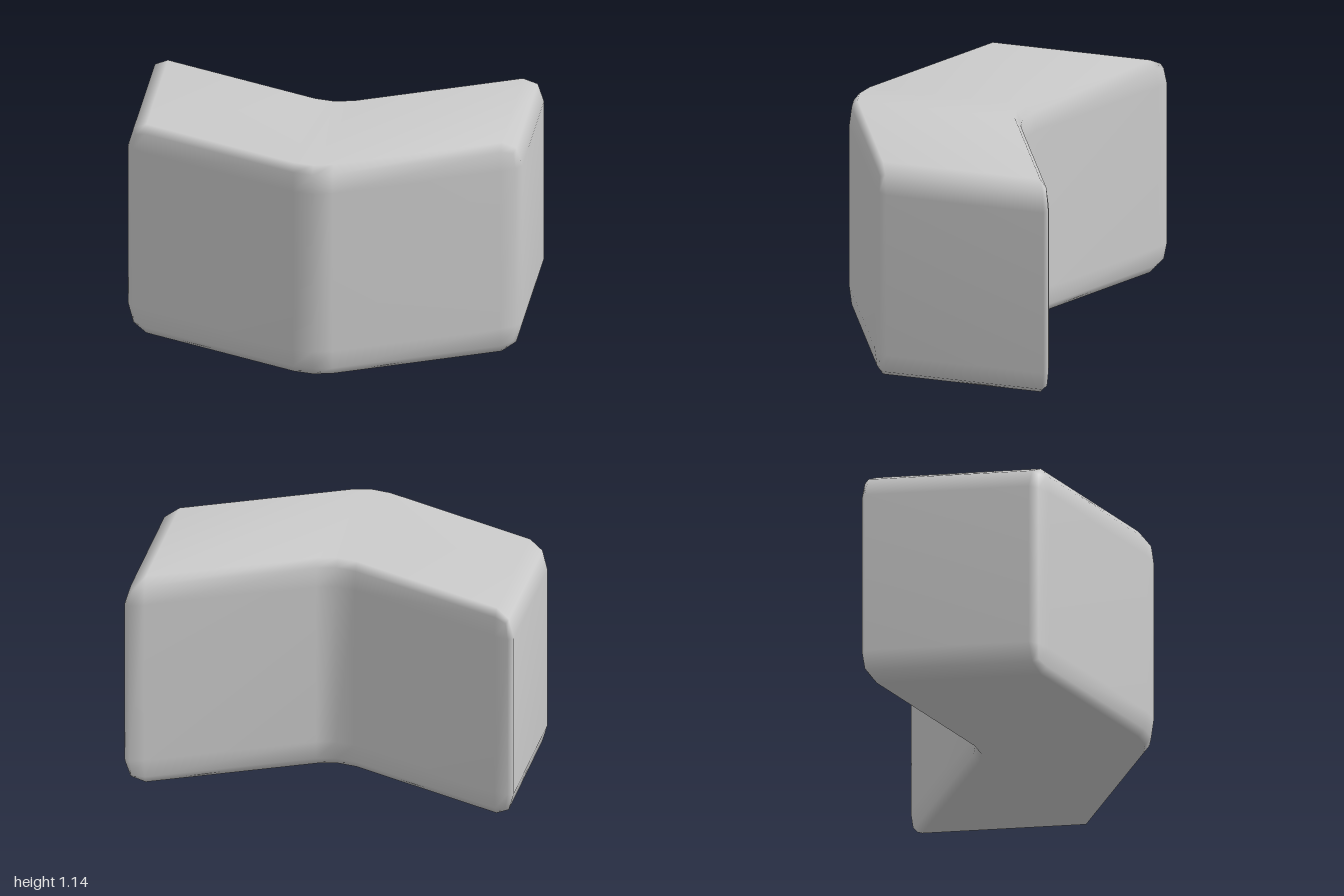
import * as THREE from 'three';
import { mergeVertices } from 'three/addons/utils/BufferGeometryUtils.js';

const HALF = [1, 0.57, 0.46];        // half width, height, depth
const BEVEL = [0.1, 0.14, 0.045];    // edge rounding along each axis
const COLUMNS = [0, 0.1, 0.9, 0.9];  // |x| of each column, from the bend outwards

// Backward sweep of the two wings, softened at the bend
const sweep = (x) => {
  const a = Math.abs(x);
  return a < 0.1 ? a * 0.22 : 0.022 + (a - 0.1) * 0.49;
};

// Box with two-step rounded edges, bent into a chevron
function chevronBlock() {
  let geo = new THREE.BoxGeometry(6, 3, 3, 6, 3, 3);
  geo.deleteAttribute('uv');
  geo.deleteAttribute('normal');
  const pos = geo.attributes.position;
  const v = new THREE.Vector3();
  for (let i = 0; i < pos.count; i++) {
    const g = v.fromBufferAttribute(pos, i).toArray();
    const outer = [3, 1.5, 1.5];
    // Outermost grid lines are pushed out from the inner box along a rounded direction
    const dir = new THREE.Vector3(
      ...g.map((c, k) => (Math.abs(c) > outer[k] - 0.1 ? Math.sign(c) : 0))
    ).normalize().toArray();
    const p = g.map((c, k) => {
      const inner = k === 0 ? COLUMNS[Math.round(Math.abs(c))] : HALF[k] - BEVEL[k];
      return Math.sign(c) * inner + dir[k] * BEVEL[k];
    });
    pos.setXYZ(i, p[0], p[1] + HALF[1], p[2] + 0.22 - sweep(p[0]));
  }
  geo = mergeVertices(geo, 1e-4);
  geo.computeVertexNormals();
  return geo;
}

export function createModel() {
  const group = new THREE.Group();
  const block = new THREE.Mesh(
    chevronBlock(),
    new THREE.MeshStandardMaterial({ color: 0xcccccc })
  );
  block.name = 'chevronBlock';
  group.add(block);
  return group;
}
